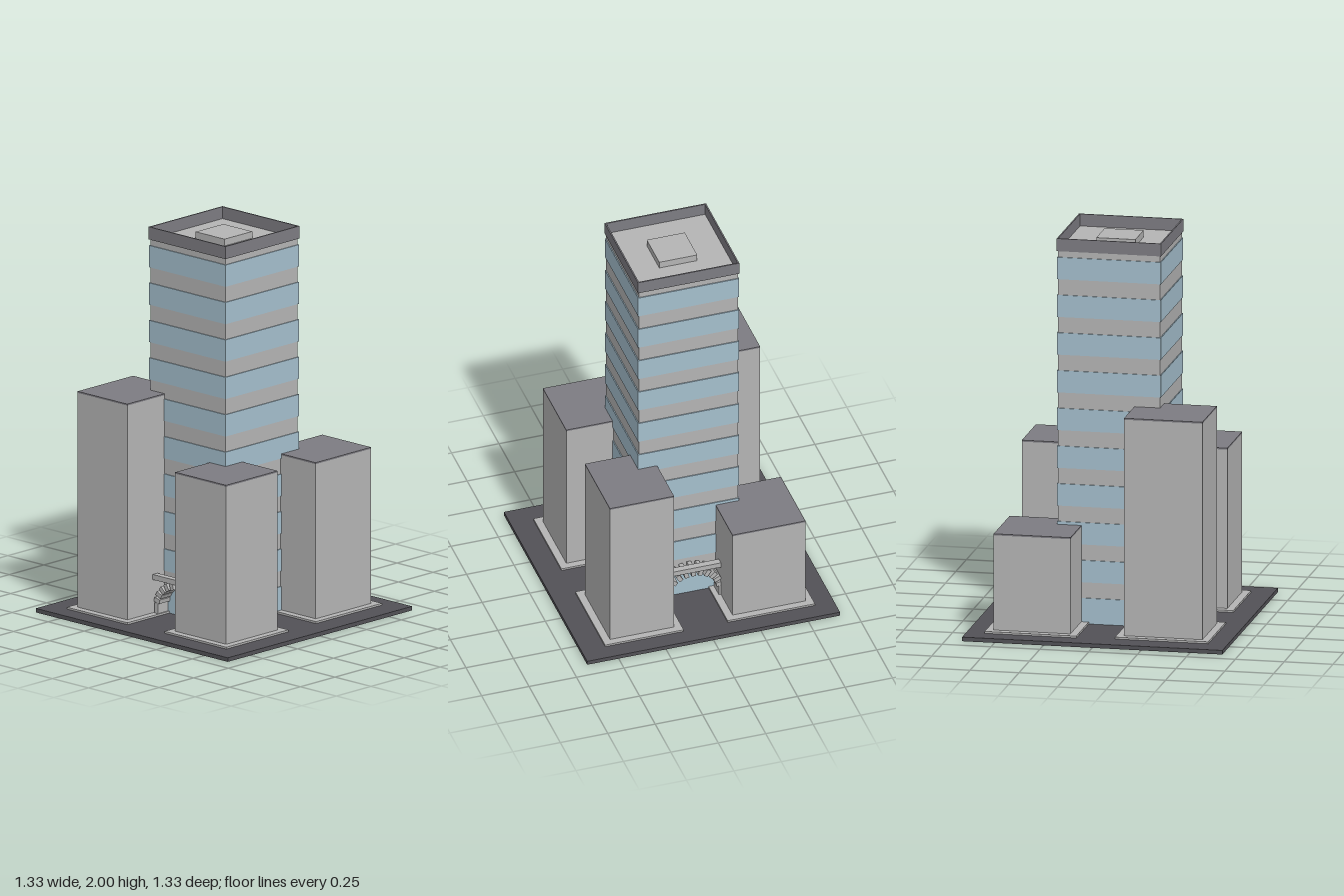
import * as THREE from 'three';

const material = (name, color) => {
  const m = new THREE.MeshStandardMaterial({ color });
  m.name = name;
  return m;
};

export function createModel() {
  const model = new THREE.Group();
  model.name = 'towerBlock';
  const concrete = material('paleConcrete', 0xb4b4b4);
  const roofing = material('roofGrey', 0x7d7c82);
  const asphalt = material('asphalt', 0x525156);
  const glass = material('blueGlass', 0xa5bfcd);

  // Box given by its extents on each axis
  const box = (parent, name, mat, x0, x1, y0, y1, z0, z1) => {
    const mesh = new THREE.Mesh(new THREE.BoxGeometry(x1 - x0, y1 - y0, z1 - z0), mat);
    mesh.position.set((x0 + x1) / 2, (y0 + y1) / 2, (z0 + z1) / 2);
    mesh.name = name;
    parent.add(mesh);
    return mesh;
  };

  box(model, 'ground', asphalt, -0.666, 0.666, 0, 0.021, -0.666, 0.666);

  // Central tower: concrete core with slightly projecting glass bands
  const tower = new THREE.Group();
  tower.name = 'tower';
  model.add(tower);
  const core = 0.261, skin = 0.266;
  box(tower, 'core', concrete, -core, core, 0.015, 1.938, -core, core);
  for (let i = 0; i < 10; i++) {
    const y = 0.04 + 0.1945 * i;
    box(tower, 'windowBand', glass, -skin, skin, i ? y : 0.021, y + 0.113, -skin, skin);
  }

  // Parapet ring and roof plant
  const ring = new THREE.Shape([[-1, -1], [1, -1], [1, 1], [-1, 1]]
    .map(([x, y]) => new THREE.Vector2(x * 0.267, y * 0.267)));
  ring.holes.push(new THREE.Path([[-1, -1], [-1, 1], [1, 1], [1, -1]]
    .map(([x, y]) => new THREE.Vector2(x * 0.26, y * 0.26))));
  const parapet = new THREE.Mesh(
    new THREE.ExtrudeGeometry(ring, { depth: 0.065, bevelEnabled: false }), roofing);
  parapet.rotation.x = -Math.PI / 2;
  parapet.position.y = 1.935;
  parapet.name = 'parapet';
  tower.add(parapet);
  box(tower, 'roofPlant', concrete, -0.1, 0.1, 1.93, 1.973, -0.1, 0.1);

  // Corner blocks: x0, x1, z0, z1, height
  const blocks = [
    ['backRightBlock', -0.527, -0.143, -0.534, -0.141, 0.527],
    ['frontRightBlock', -0.507, -0.162, 0.129, 0.53, 1.152],
    ['frontLeftBlock', 0.157, 0.51, 0.143, 0.516, 0.857],
    ['backLeftBlock', 0.166, 0.504, -0.538, -0.138, 0.842],
  ];
  for (const [name, x0, x1, z0, z1, h] of blocks) {
    const g = new THREE.Group();
    g.name = name;
    model.add(g);
    const m = 0.038;
    box(g, 'pavement', concrete, x0 - m, x1 + m, 0.015, 0.031, z0 - m, z1 + m);
    box(g, 'walls', concrete, x0, x1, 0.02, h - 0.008, z0, z1);
    box(g, 'roof', roofing, x0, x1, h - 0.008, h, z0, z1);
  }

  // Entrance arch of separate stones with a lintel, front and back
  const addArch = (name, side, x0, x1, z) => {
    const g = new THREE.Group();
    g.name = name;
    model.add(g);
    box(g, 'lintel', concrete, x0, x1, 0.204, 0.231, z - 0.0175, z + 0.0175);
    const depth = 0.08, zs = z - side * 0.03, n = 10, r = 0.141, cy = 0.075;
    for (const s of [-1, 1]) {
      box(g, 'archPost', concrete, s * 0.143 - 0.011, s * 0.143 + 0.011, 0.021, 0.085,
        zs - depth / 2, zs + depth / 2);
    }
    for (let i = 0; i <= n; i++) {
      const a = Math.PI * (0.06 + 0.88 * i / n);
      const stone = box(g, 'archStone', concrete, -0.019, 0.019, -0.011, 0.011, -depth / 2, depth / 2);
      stone.position.set(Math.cos(a) * r, cy + Math.sin(a) * (r - 0.022), zs);
      stone.rotation.z = a;
    }
  };
  addArch('frontArch', 1, -0.16, 0.158, 0.331);
  addArch('backArch', -1, -0.141, 0.159, -0.338);

  return model;
}
